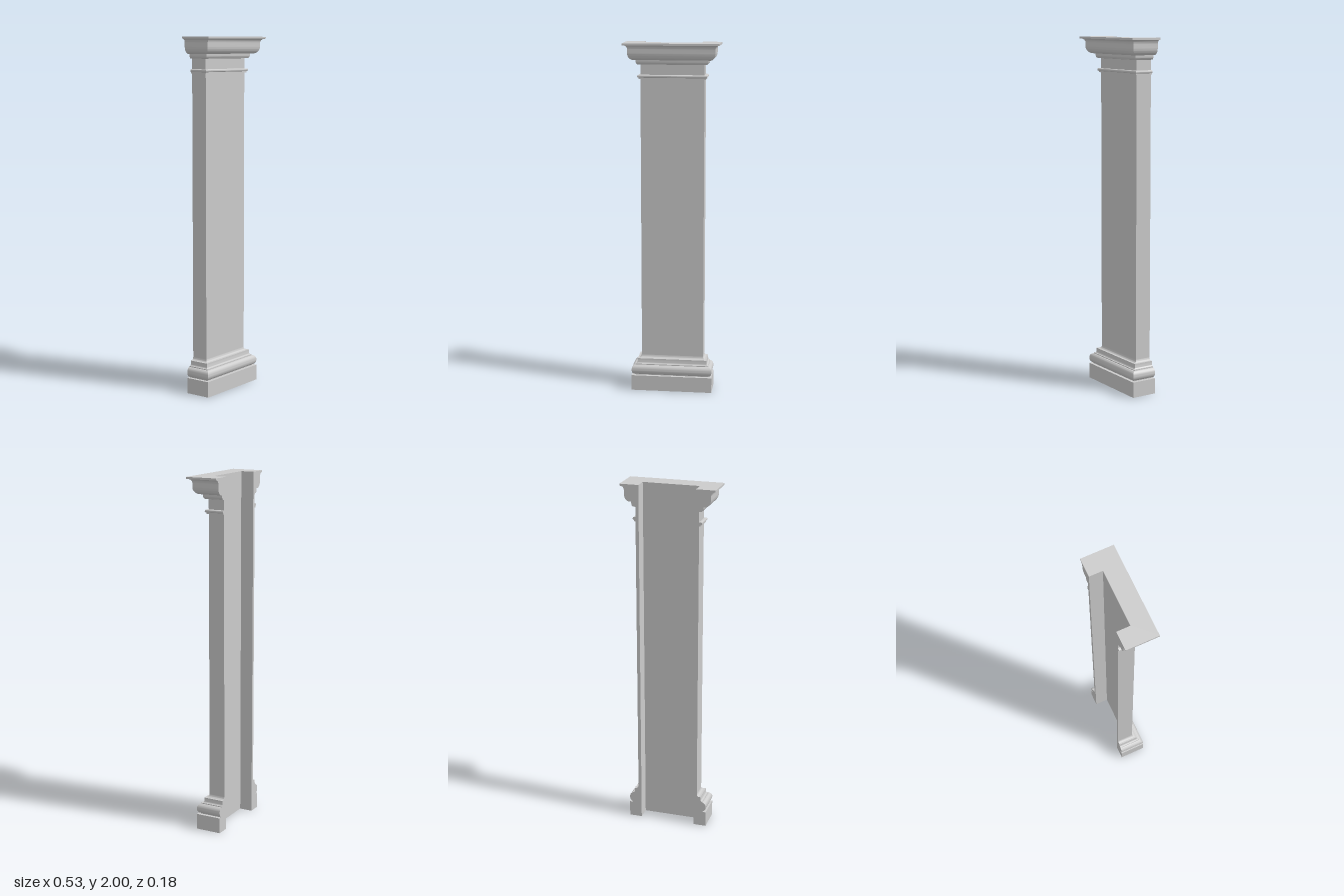
import * as THREE from 'three';
import { toCreasedNormals } from 'three/addons/utils/BufferGeometryUtils.js';

const HALF = 0.178;                    // shaft half width
const FRONT = 0.003;                   // shaft front face
const BACK = -0.0915;
const SLOT_X = 0.16, SLOT_Z = -0.016;  // channel in the back

// U-shaped cross-section, grown by d on the front and both sides
function section(d) {
  const h = HALF + d, f = FRONT + d;
  return [[h, BACK], [h, f], [-h, f], [-h, BACK],
    [-SLOT_X, BACK], [-SLOT_X, SLOT_Z], [SLOT_X, SLOT_Z], [SLOT_X, BACK]];
}

// Elliptical arc of profile points [d, y], angles in degrees
function arc(cd, cy, rd, ry, from, to, n = 10) {
  return Array.from({ length: n + 1 }, (_, i) => {
    const a = THREE.MathUtils.degToRad(from + (to - from) * i / n);
    return [cd + rd * Math.cos(a), cy + ry * Math.sin(a)];
  });
}

// Sweep a profile of [d, y] points around the U section
function moulding(name, profile, { bottom = false, top = false } = {}) {
  const pos = [];
  const put = (...pts) => pts.forEach(p => pos.push(...p));
  for (let k = 0; k < profile.length - 1; k++) {
    const [d0, y0] = profile[k], [d1, y1] = profile[k + 1];
    const lo = section(d0), hi = section(d1);
    for (let i = 0; i < 8; i++) {
      if (i > 2 && Math.abs(y1 - y0) < 1e-6) continue;
      const j = (i + 1) % 8;
      const a = [lo[i][0], y0, lo[i][1]], b = [lo[j][0], y0, lo[j][1]];
      const c = [hi[j][0], y1, hi[j][1]], e = [hi[i][0], y1, hi[i][1]];
      put(a, e, c, a, c, b);
    }
  }
  const cap = ([d, y], up) => {
    const s = section(d);
    const tris = THREE.ShapeUtils.triangulateShape(s.map(p => new THREE.Vector2(...p)), []);
    for (const t of tris) {
      const [a, b, c] = t.map(i => [s[i][0], y, s[i][1]]);
      if (up) put(a, c, b); else put(a, b, c);
    }
  };
  if (bottom) cap(profile[0], false);
  if (top) cap(profile[profile.length - 1], true);
  const geo = new THREE.BufferGeometry();
  geo.setAttribute('position', new THREE.Float32BufferAttribute(pos, 3));
  const mesh = new THREE.Mesh(toCreasedNormals(geo, Math.PI / 5),
    new THREE.MeshStandardMaterial({ color: 0xcccccc }));
  mesh.name = name;
  return mesh;
}

export function createModel() {
  const pilaster = new THREE.Group();
  pilaster.name = 'pilaster';
  pilaster.add(
    moulding('plinth', [[0.054, 0], [0.054, 0.089], [0.036, 0.089], [0.036, 0.093]], { bottom: true }),
    // Large rounded roll, two fillets and a sweep into the shaft
    moulding('baseMoulding', [
      [0.036, 0.093], ...arc(0.034, 0.121, 0.02, 0.028, -90, 90, 14),
      [0.034, 0.154], [0.030, 0.154],
      ...arc(0.030, 0.169, 0.008, 0.015, -90, -180, 6),
      [0.022, 0.183], [0.014, 0.183],
      ...arc(0.014, 0.2, 0.014, 0.017, -90, -180, 6)]),
    moulding('shaft', [[0, 0.2], [0, 1.8]]),
    // Thin fillet and bead
    moulding('neckRing', [
      [0, 1.8], [0.009, 1.8], [0.009, 1.807],
      ...arc(0.009, 1.815, 0.007, 0.008, -90, 90, 8), [0, 1.823]]),
    moulding('neck', [[0, 1.823], [0, 1.88]]),
    // Flare, rounded bell and projecting top edge
    moulding('capital', [
      [0, 1.88], [0.012, 1.88],
      ...arc(0.012, 1.9, 0.011, 0.02, -90, 0, 6),
      [0.023, 1.906], [0.033, 1.906],
      ...arc(0.033, 1.946, 0.031, 0.04, -90, 0, 10),
      [0.064, 1.967],
      ...arc(0.084, 1.967, 0.02, 0.022, 180, 90, 8),
      [0.0885, 1.989], [0.0885, 2]], { top: true }),
  );
  return pilaster;
}
